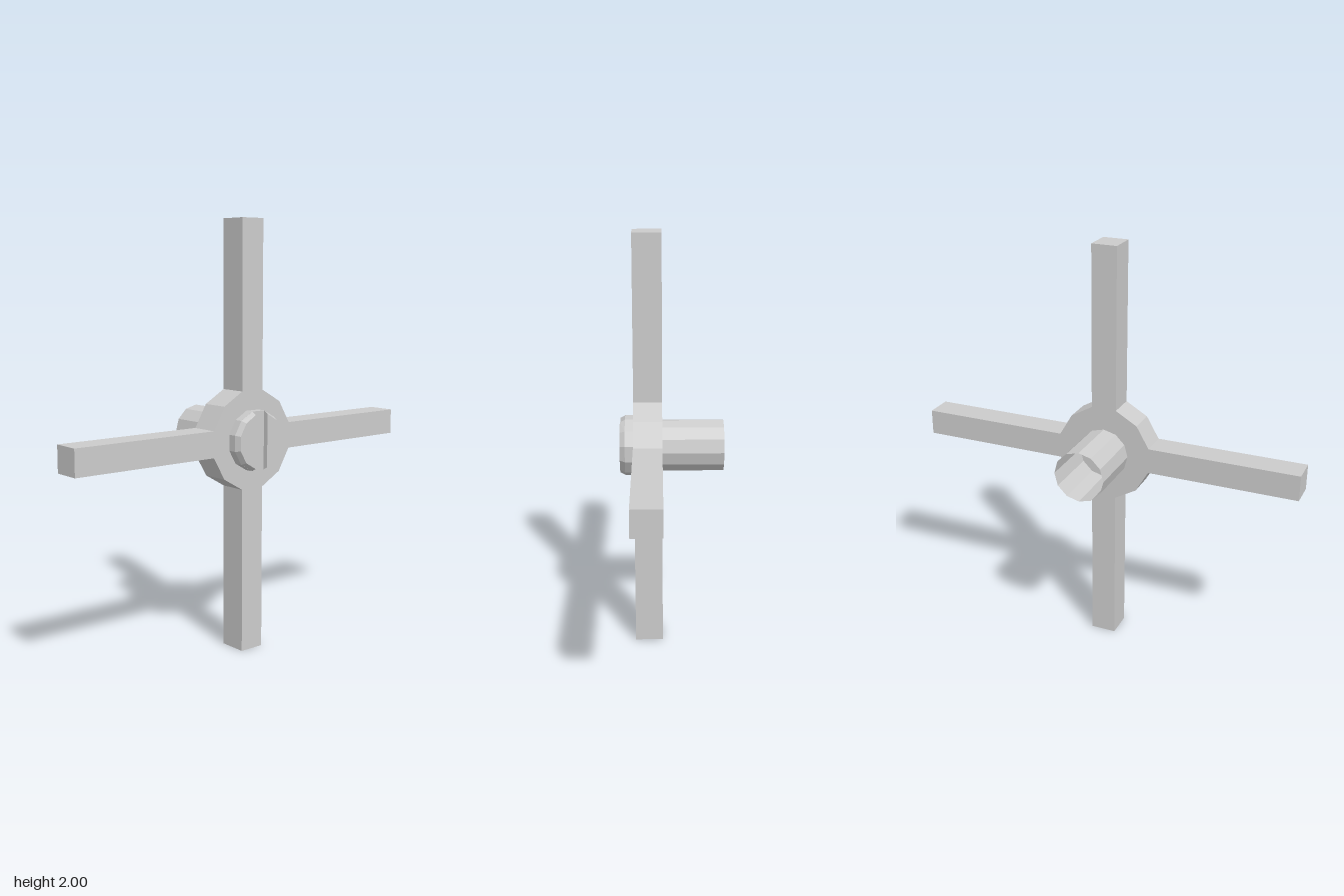
import * as THREE from 'three';
import { ConvexGeometry } from 'three/addons/geometries/ConvexGeometry.js';

const CENTRE_Y = 1;
const SIDES = 12;
const BACK = 0.045, FRONT = 0.178, SLOT_FLOOR = 0.218, TIP = 0.242;

export function createModel() {
  const group = new THREE.Group();
  const grey = new THREE.MeshStandardMaterial({ color: 0xcccccc, flatShading: true });
  const open = grey.clone();
  open.side = THREE.DoubleSide;

  const add = (name, geometry, material = grey) => {
    const mesh = new THREE.Mesh(geometry, material);
    mesh.name = name;
    mesh.position.y = CENTRE_Y;
    group.add(mesh);
    return mesh;
  };

  // Cross-shaped blade plate with a faceted hub: one quarter outline turned four times
  const w = 0.061;
  const outline = [];
  for (let q = 0; q < 4; q++) {
    const arm = q % 2 ? 1 : 0.947;
    for (const [x, y] of [[arm, -w], [arm, w], [0.227, w], [0.166, 0.166], [w, 0.227]]) {
      const p = new THREE.Vector2(x, y).rotateAround(new THREE.Vector2(), q * Math.PI / 2);
      outline.push(p);
    }
  }
  const plate = new THREE.ExtrudeGeometry(new THREE.Shape(outline), {
    depth: FRONT - BACK, bevelEnabled: false,
  });
  plate.translate(0, 0, BACK);
  add('crossPlate', plate);

  // Open shaft sleeve behind the plate
  const shaft = new THREE.CylinderGeometry(0.122, 0.122, BACK + TIP, SIDES, 1, true);
  shaft.rotateX(Math.PI / 2).translate(0, 0, (BACK - TIP) / 2);
  add('shaftSleeve', shaft, open);

  // Screw head base, with a flat edge on top
  const R = 0.142;
  const head = new THREE.CylinderGeometry(R, R, SLOT_FLOOR - FRONT, SIDES);
  head.rotateY(Math.PI / SIDES).rotateX(Math.PI / 2);
  head.translate(0, 0, (FRONT + SLOT_FLOOR) / 2);
  add('screwHead', head);

  // Two chamfered halves either side of the vertical slot
  for (const side of [1, -1]) {
    const points = [];
    for (const [r, z] of [[R, SLOT_FLOOR], [R - 0.014, TIP]]) {
      for (let i = 0; i < 6; i++) {
        const a = (i * 30 - 75) * Math.PI / 180;
        points.push(new THREE.Vector3(
          side * (Math.abs(i - 2.5) > 2 ? 0.035 : r * Math.cos(a)), r * Math.sin(a), z));
      }
    }
    add(side > 0 ? 'leftHeadHalf' : 'rightHeadHalf', new ConvexGeometry(points));
  }

  return group;
}
